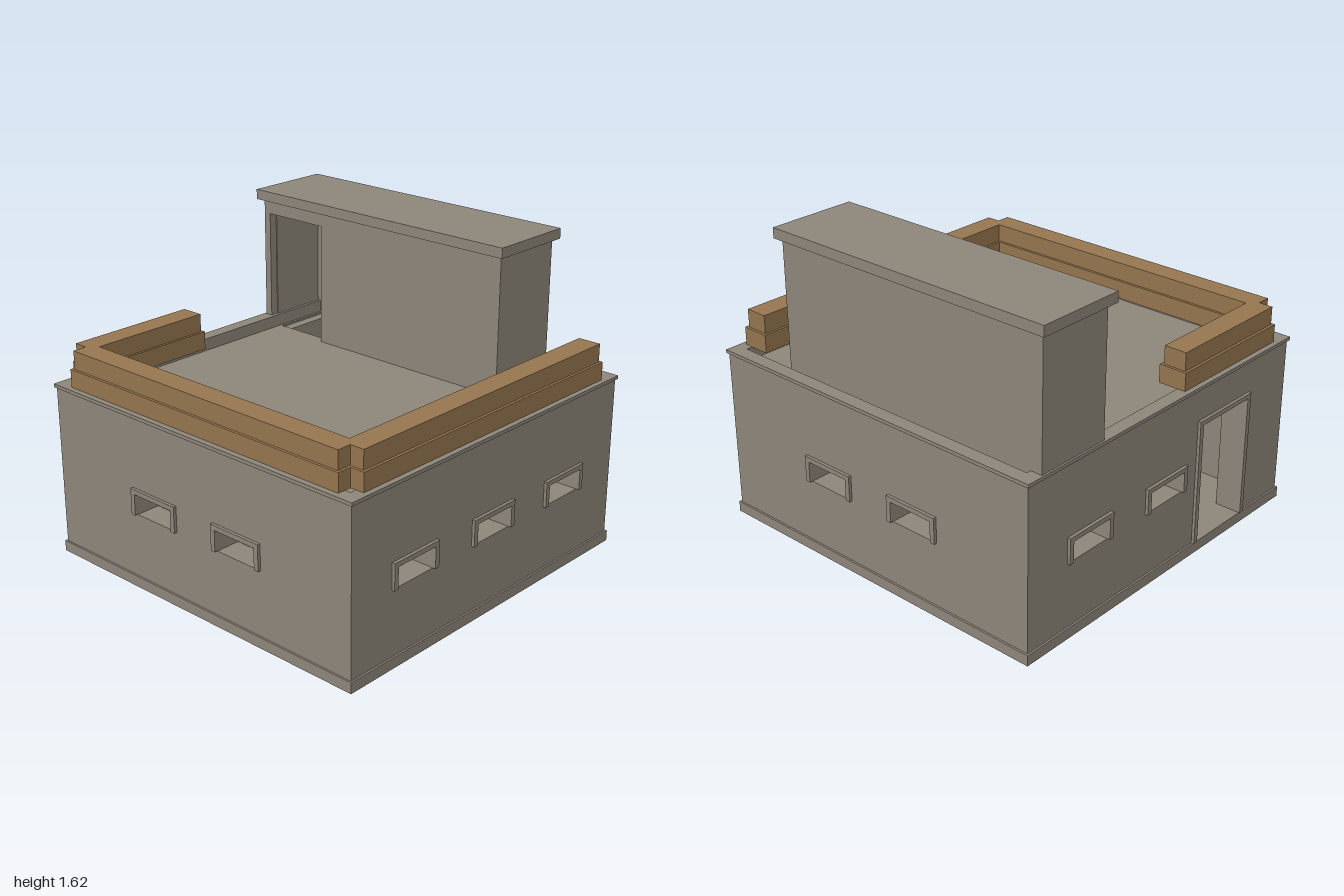
import * as THREE from 'three';

const HALF = 0.976;   // wall face distance from the centre
const WALL = 0.13;    // wall thickness
const Z0 = 0.006;     // building sits slightly forward
const DECK = 0.857;   // sunken roof deck level
const INNER = 0.914;  // inside face of the roof parapet

const concrete = new THREE.MeshStandardMaterial({ color: 0x8d867a });
concrete.name = 'concrete';
const timber = new THREE.MeshStandardMaterial({ color: 0x95764f });
timber.name = 'sandbagBrown';

function add(parent, name, geometry, material = concrete) {
  const mesh = new THREE.Mesh(geometry, material);
  mesh.name = name;
  parent.add(mesh);
  return mesh;
}

// Box given by its minimum and maximum corners
function box(parent, name, x0, x1, y0, y1, z0, z1) {
  const mesh = add(parent, name, new THREE.BoxGeometry(x1 - x0, y1 - y0, z1 - z0));
  mesh.position.set((x0 + x1) / 2, (y0 + y1) / 2, (z0 + z1) / 2);
  return mesh;
}

function polygon(points, Type = THREE.Shape) {
  return new Type(points.map(([x, y]) => new THREE.Vector2(x, y)));
}

const rect = (x0, x1, y0, y1) => [[x0, y0], [x1, y0], [x1, y1], [x0, y1]];

// Outline with an optional list of rectangular holes
function pierced(outline, holes = []) {
  const shape = polygon(outline);
  holes.forEach((h) => shape.holes.push(polygon(rect(...h), THREE.Path)));
  return shape;
}

function extrude(shape, depth) {
  return new THREE.ExtrudeGeometry(shape, { depth, bevelEnabled: false });
}

// Plan shape (x, z) raised from y0 to y1
function slab(parent, name, shape, y0, y1, material) {
  const mesh = add(parent, name, extrude(shape, y1 - y0), material);
  mesh.rotation.x = Math.PI / 2;
  mesh.position.y = y1;
  return mesh;
}

// Upright panel with rectangular openings; its outer face is z = 0
function panel(parent, name, u0, u1, y0, y1, thickness, openings) {
  const mesh = add(parent, name, extrude(pierced(rect(u0, u1, y0, y1), openings), thickness));
  mesh.position.z = -thickness;
}

// Raised surround on the two sides and the top of an opening
function surround(parent, name, [u0, u1, y0, y1], border) {
  const outline = polygon([
    [u0 - border, y0], [u0, y0], [u0, y1], [u1, y1], [u1, y0],
    [u1 + border, y0], [u1 + border, y1 + 0.025], [u0 - border, y1 + 0.025],
  ]);
  add(parent, name, extrude(outline, 0.036)).position.z = -0.02;
}

const windowAt = (u) => [u - 0.127, u + 0.127, 0.4, 0.511];

// One outside wall, turned to face its direction
function outerWall(parent, name, angle, halfWidth, windows, door) {
  const wall = new THREE.Group();
  wall.name = name;
  const openings = windows.map(windowAt);
  openings.forEach((o) => surround(wall, 'windowSurround', o, 0.026));
  if (door) {
    openings.push(door);
    surround(wall, 'doorSurround', door, 0.026);
  }
  panel(wall, 'wallPanel', -halfWidth, halfWidth, 0.05, DECK - 0.01, WALL, openings);
  wall.rotation.y = angle;
  wall.position.set(Math.sin(angle) * HALF, 0, Math.cos(angle) * HALF);
  parent.add(wall);
}

// U-shaped run of sandbags with notched outer corners, inset by d
function sandbagOutline(d) {
  const out = 0.958 - d, inn = 0.808 + d, notch = 0.883 - d;
  const frontEnd = 0.878 - d, backEnd = -0.143 - d;
  return polygon([
    [frontEnd, out], [-notch, out], [-notch, notch], [-out, notch],
    [-out, -notch], [-notch, -notch], [-notch, -out], [backEnd, -out],
    [backEnd, -inn], [-inn, -inn], [-inn, inn], [frontEnd, inn],
  ]);
}

export function createModel() {
  const model = new THREE.Group();
  model.name = 'bunker';

  // Main block: plinth and four walls
  const block = new THREE.Group();
  block.name = 'mainBlock';
  block.position.z = Z0;
  model.add(block);
  box(block, 'plinth', -0.986, 0.986, 0.006, 0.062, -0.986, 0.986);
  const sideHalf = HALF - WALL;
  outerWall(block, 'frontWall', 0, HALF, [-0.56, 0, 0.56]);
  outerWall(block, 'backWall', Math.PI, HALF, [-0.56, 0], [0.264, 0.632, 0.062, 0.71]);
  outerWall(block, 'leftWall', Math.PI / 2, sideHalf, [-0.278, 0.278]);
  outerWall(block, 'rightWall', -Math.PI / 2, sideHalf, [-0.278, 0.278]);

  // Sunken deck, open below the stair house, with a low parapet and rim
  const well = [0.521, 0.843, -0.93, 0.571];
  const well2 = [well[0], well[1], -0.9, well[3]];
  const inside = [-INNER, INNER, -INNER, INNER];
  const square = (h) => rect(-h, h, -h, h);
  slab(block, 'roofDeck', pierced(square(0.93), [well2]), 0.8, DECK);
  slab(block, 'parapet', pierced(square(HALF), [inside]), DECK - 0.01, 0.905);
  slab(block, 'parapetRim', pierced(square(0.986), [inside]), 0.904, 0.922);

  // Sandbags in two tiers on the parapet
  const bags = new THREE.Group();
  bags.name = 'sandbags';
  bags.position.set(0.002, 0, Z0);
  model.add(bags);
  slab(bags, 'lowerSandbags', sandbagOutline(0), 0.92, 1.016, timber);
  slab(bags, 'upperSandbags', sandbagOutline(0.014), 1.016, 1.111, timber);

  // Rooftop stair house, hollow, with a doorway near the back
  const house = new THREE.Group();
  house.name = 'stairHouse';
  model.add(house);
  const x0 = 0.476, x1 = 0.89, z0 = -0.97, z1 = 0.62, t = 0.045, base = 0.85, top = 1.576;
  box(house, 'houseLeftWall', x1 - t, x1, base, top, z0, z1);
  box(house, 'houseFrontWall', x0 + t, x1 - t, base, top, z1 - t, z1);
  box(house, 'houseBackWall', x0 + t, x1 - t, base, top, z0, z0 + t);
  const doorWall = new THREE.Group();
  doorWall.name = 'houseDoorWall';
  panel(doorWall, 'houseDoorPanel', z0, z1, base, top, t, [[-0.93, -0.555, DECK, 1.498]]);
  doorWall.rotation.y = -Math.PI / 2;
  doorWall.position.x = x0;
  house.add(doorWall);
  box(house, 'houseRoof', 0.447, 0.92, 1.573, 1.626, -1, 0.646);

  return model;
}
